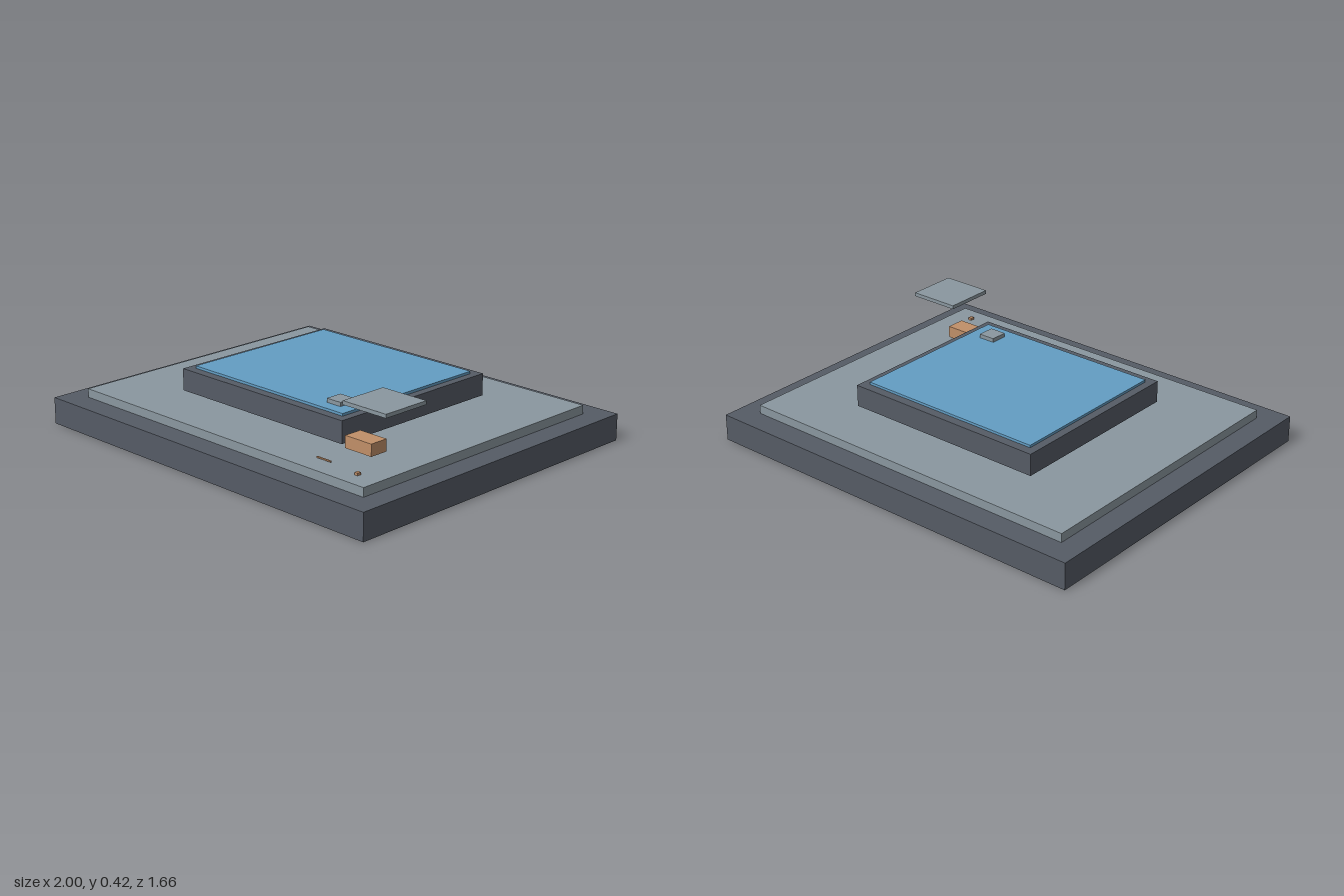
import * as THREE from 'three';

export function createModel() {
  const model = new THREE.Group();
  const material = (name, color) => {
    const m = new THREE.MeshStandardMaterial({ color });
    m.name = name;
    return m;
  };
  const slate = material('slate', 0x555b65);
  const grey = material('grey', 0x8a979f);
  const blue = material('blue', 0x639dc3);
  const copper = material('copper', 0xc08f68);

  // Box given by its lower and upper corners
  const box = (name, mat, [x0, y0, z0], [x1, y1, z1]) => {
    const mesh = new THREE.Mesh(new THREE.BoxGeometry(x1 - x0, y1 - y0, z1 - z0), mat);
    mesh.position.set((x0 + x1) / 2, (y0 + y1) / 2, (z0 + z1) / 2);
    mesh.name = name;
    model.add(mesh);
  };

  // Stepped base
  box('base', slate, [-1, 0, -0.832], [1, 0.128, 0.832]);
  box('deck', grey, [-0.89, 0.128, -0.718], [0.89, 0.17, 0.718]);

  // Raised block with its blue panel
  box('block', slate, [-0.512, 0.19, -0.458], [0.512, 0.295, 0.458]);
  box('panel', blue, [-0.473, 0.295, -0.414], [0.473, 0.307, 0.414]);
  box('panelButton', grey, [0.32, 0.307, 0.272], [0.403, 0.326, 0.356]);

  // Corner details
  box('canopy', grey, [0.583, 0.401, 0.281], [0.83, 0.419, 0.526]);
  box('crate', copper, [0.545, 0.185, 0.379], [0.698, 0.242, 0.472]);
  box('strip', copper, [0.527, 0.178, 0.618], [0.611, 0.184, 0.624]);
  box('peg', copper, [0.766, 0.17, 0.622], [0.783, 0.182, 0.642]);

  return model;
}
